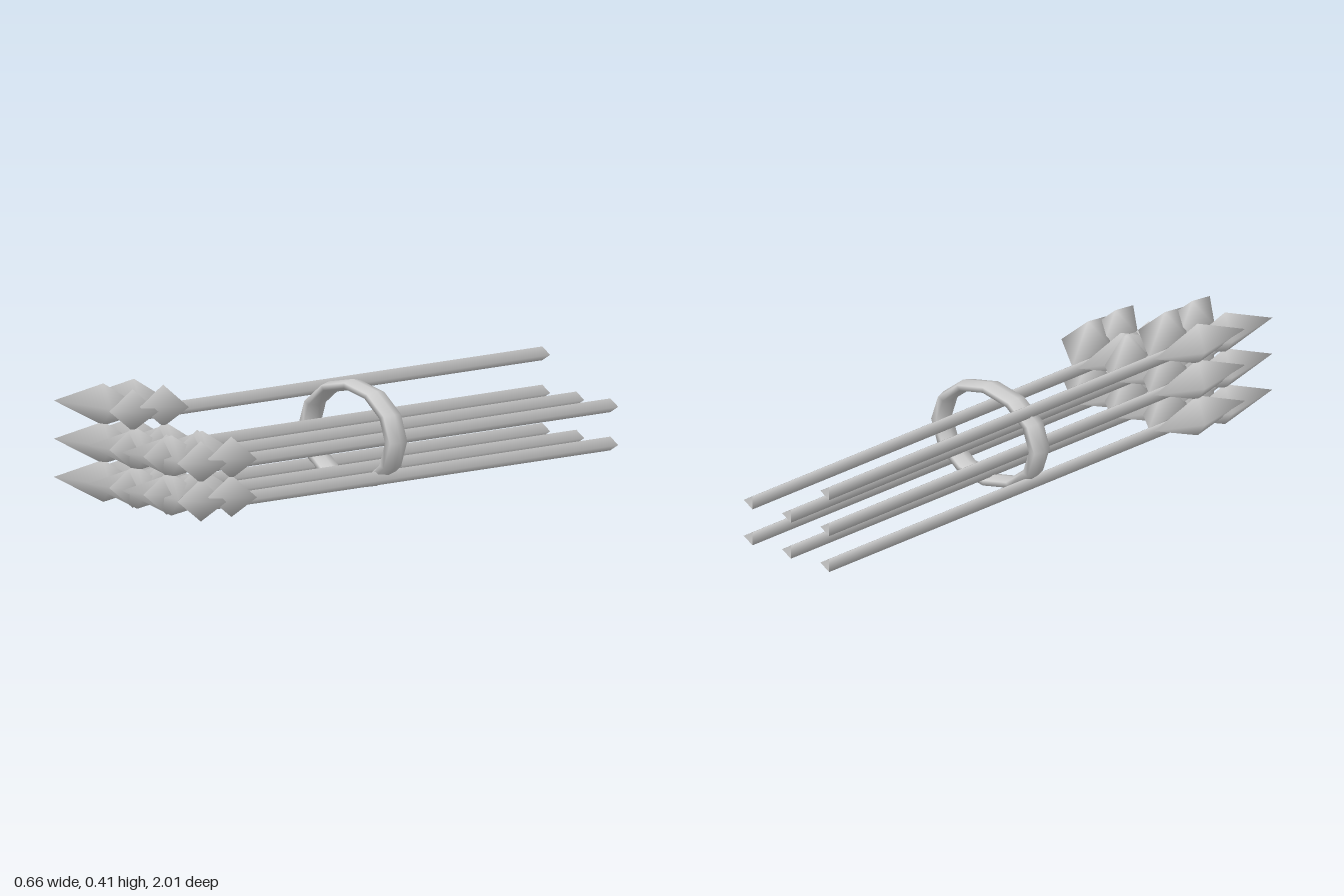
import * as THREE from 'three';

const grey = new THREE.MeshStandardMaterial({ color: 0xcccccc });
grey.name = 'light grey';

// Leaf-shaped feather: a skewed spindle from tail to tip around a diamond ring
function vaneGeometry(side) {
  const points = [
    [0.012, 0.004, 0.55],   // tail
    [0.147, 0.034, 0.645],  // outer
    [0.072, 0.103, 0.69],   // top
    [0, 0.03, 0.72],        // inner
    [0.073, -0.035, 0.69],  // bottom
    [0.137, 0.056, 0.845],  // tip
  ];
  const index = [];
  for (let i = 0; i < 4; i++) {
    const a = 1 + i, b = 1 + (i + 1) % 4;
    if (side > 0) index.push(5, a, b, 0, b, a);
    else index.push(5, b, a, 0, a, b);
  }
  const g = new THREE.BufferGeometry();
  g.setAttribute('position', new THREE.Float32BufferAttribute(
    points.flatMap(([x, y, z]) => [x * side, y, z]), 3));
  g.setIndex(index);
  g.computeVertexNormals();
  return g;
}

export function createModel() {
  const model = new THREE.Group();
  model.name = 'arrowBundle';
  const bundle = new THREE.Group();
  bundle.name = 'tiltedBundle';
  bundle.rotation.y = 0.0885;
  model.add(bundle);

  const add = (parent, name, geometry) => {
    const mesh = new THREE.Mesh(geometry, grey);
    mesh.name = name;
    parent.add(mesh);
    return mesh;
  };

  // Three-sided shaft along z, one edge towards +x
  const back = -0.995, front = 0.73;
  const shaft = new THREE.CylinderGeometry(0.026, 0.026, front - back, 3);
  shaft.rotateX(Math.PI / 2);
  shaft.rotateZ(Math.PI / 2);
  shaft.translate(0, 0, (front + back) / 2);
  const vanes = { left: vaneGeometry(1), right: vaneGeometry(-1) };

  // Seven arrows: two full rows of three and one on top
  const columns = [-0.229, -0.061, 0.107];
  [3, 3, 1].forEach((count, row) => {
    for (let c = 0; c < count; c++) {
      const arrow = new THREE.Group();
      arrow.name = 'arrow';
      arrow.position.set(columns[c], 0.058 + row * 0.125, 0);
      add(arrow, 'shaft', shaft);
      for (const side of ['left', 'right']) {
        add(arrow, side + 'RearFeather', vanes[side]);
        add(arrow, side + 'FrontFeather', vanes[side]).position.z = 0.13;
      }
      bundle.add(arrow);
    }
  });

  // Oval band around the shafts
  const band = add(bundle, 'band', new THREE.TorusGeometry(0.9, 0.1, 6, 12));
  band.scale.set(0.238, 0.179, 0.43);
  band.position.set(-0.062, 0.18, -0.034);

  return model;
}
